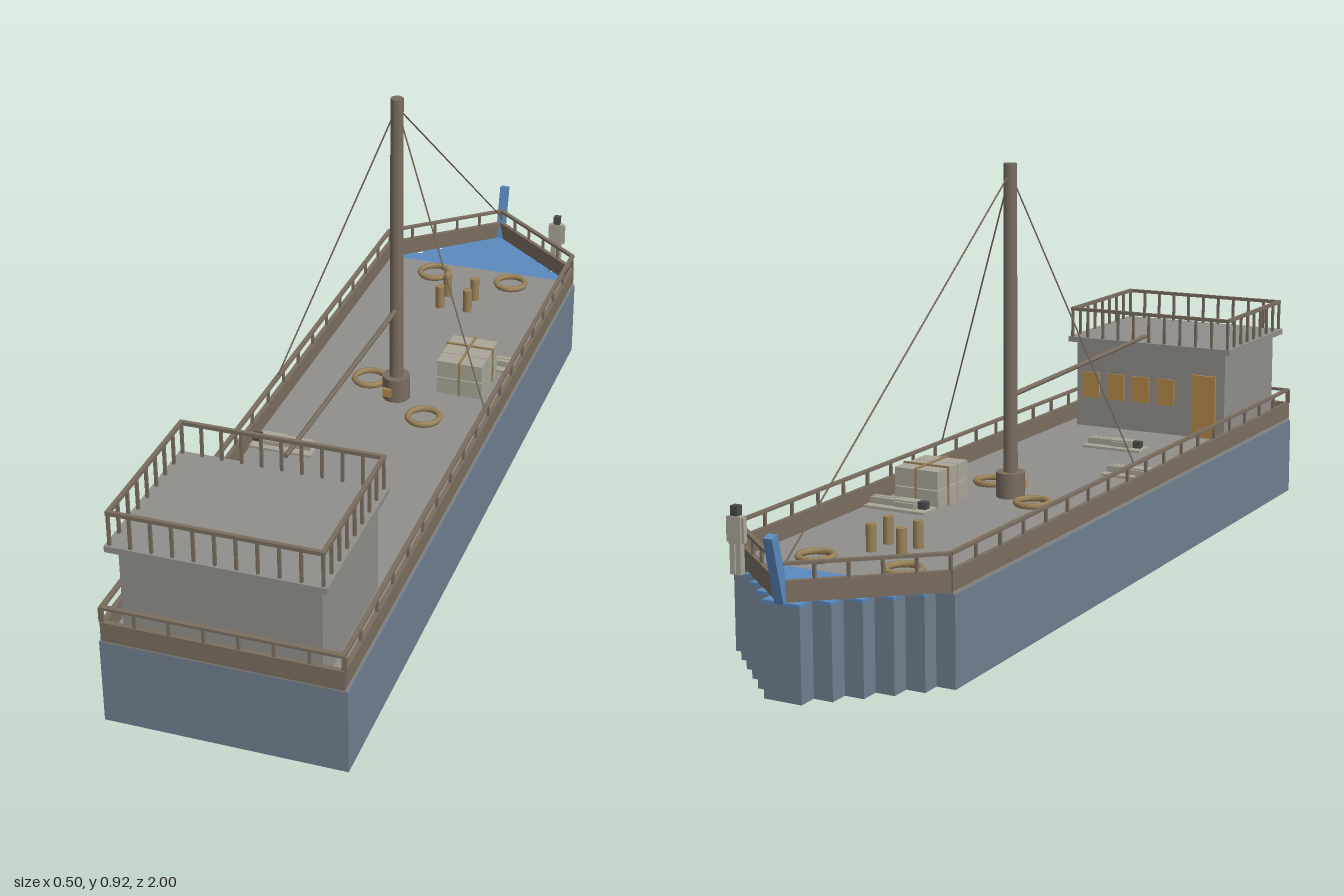
import * as THREE from 'three';

const mat = (name, color, side = THREE.FrontSide) => {
  const m = new THREE.MeshStandardMaterial({ color, side });
  m.name = name;
  return m;
};

export function createModel() {
  const hullBlue = mat('hullSlate', 0x708090);
  const deckGrey = mat('deckGrey', 0x918f8a);
  const wood = mat('weatheredWood', 0x7a6e60);
  const bowBlue = mat('bowBlue', 0x5a8abf);
  const amber = mat('amber', 0xb5884a);
  const ropeTan = mat('ropeTan', 0x9a8358);
  const pale = mat('paleCanvas', 0xaaa699);
  const dark = mat('darkGrey', 0x4a4a48);

  const root = new THREE.Group();
  root.name = 'cargoBoat';
  const V = (x, y, z) => new THREE.Vector3(x, y, z);
  const group = (name, parent = root) => {
    const g = new THREE.Group();
    g.name = name;
    parent.add(g);
    return g;
  };
  const mesh = (name, geo, m, x, y, z, parent = root) => {
    const o = new THREE.Mesh(geo, m);
    o.name = name;
    o.position.set(x, y, z);
    parent.add(o);
    return o;
  };
  const box = (name, w, h, d, m, x, y, z, parent) =>
    mesh(name, new THREE.BoxGeometry(w, h, d), m, x, y, z, parent);
  // square beam between two points
  const beam = (name, a, b, w, h, m, parent) => {
    const o = box(name, w, h, a.distanceTo(b), m, 0, 0, 0, parent);
    o.position.copy(a).lerp(b, 0.5);
    o.lookAt(b);
    return o;
  };
  // round spar or rope between two points
  const spar = (name, a, b, r0, r1, sides, m, parent) => {
    const o = mesh(name, new THREE.CylinderGeometry(r1, r0, a.distanceTo(b), sides), m, 0, 0, 0, parent);
    o.position.copy(a).lerp(b, 0.5);
    o.quaternion.setFromUnitVectors(V(0, 1, 0), b.clone().sub(a).normalize());
    return o;
  };
  // plan outline (x, -z) extruded upward
  const slab = (name, pts, y, h, m) => {
    const shape = new THREE.Shape(pts.map(([x, z]) => new THREE.Vector2(x, -z)));
    const geo = new THREE.ExtrudeGeometry(shape, { depth: h, bevelEnabled: false });
    return mesh(name, geo.rotateX(-Math.PI / 2), m, 0, y, 0);
  };

  // hull with a stepped bow
  const STERN = 0.985, SHOULDER = -0.755, STEPS = 5, STEP = 0.041;
  const stair = [];
  for (let i = 0; i < STEPS; i++) {
    const x = 0.25 * (1 - (i + 1) / (STEPS + 1));
    stair.push([x, SHOULDER - i * STEP], [x, SHOULDER - (i + 1) * STEP]);
  }
  const bow = [...stair, ...stair.map(([x, z]) => [-x, z]).reverse()];
  slab('hull', [[-0.25, STERN], [0.25, STERN], [0.25, SHOULDER], ...bow, [-0.25, SHOULDER]], 0, 0.185, hullBlue);
  slab('foredeck', bow, 0.185, 0.006, bowBlue);
  box('deck', 0.494, 0.006, STERN - SHOULDER, deckGrey, 0, 0.188, (STERN + SHOULDER) / 2);

  // bulwark and handrail around the deck
  const rails = group('bulwarkAndRail');
  const run = (a, b, n) => {
    const at = (p, y) => V(p[0], y, p[1]);
    beam('bulwark', at(a, 0.211), at(b, 0.211), 0.01, 0.042, wood, rails);
    beam('handrail', at(a, 0.264), at(b, 0.264), 0.01, 0.006, wood, rails);
    for (let i = 0; i <= n; i++) {
      const p = at(a, 0.247).lerp(at(b, 0.247), i / n);
      box('railPost', 0.006, 0.032, 0.006, wood, p.x, p.y, p.z, rails);
    }
  };
  for (const s of [-1, 1]) {
    run([s * 0.241, 0.982], [s * 0.241, SHOULDER], 18);
    run([s * 0.241, SHOULDER], [0, -0.96], 5);
  }
  run([-0.245, 0.982], [0.245, 0.982], 7);

  // raked stem post
  beam('stemPost', V(0, 0.19, -0.955), V(0, 0.322, -0.988), 0.02, 0.02, bowBlue);

  // deckhouse
  const house = group('deckhouse');
  box('cabin', 0.4, 0.215, 0.317, deckGrey, 0, 0.298, 0.819, house);
  box('roof', 0.436, 0.013, 0.355, deckGrey, 0, 0.4115, 0.8225, house);
  for (let i = 0; i < 4; i++)
    box('window', 0.046, 0.065, 0.006, amber, 0.16 - i * 0.068, 0.297, 0.659, house);
  box('door', 0.062, 0.155, 0.008, amber, -0.146, 0.27, 0.658, house);

  // roof railing
  const roofRail = group('roofRailing', house);
  const RX = 0.209, Z0 = 0.652, Z1 = 0.993;
  for (const z of [Z0, Z1]) {
    box('topRail', RX * 2 + 0.008, 0.008, 0.008, wood, 0, 0.488, z, roofRail);
    for (let i = 0; i <= 10; i++)
      box('post', 0.006, 0.07, 0.006, wood, -RX + (i * RX) / 5, 0.452, z, roofRail);
  }
  for (const x of [-RX, RX]) {
    box('topRail', 0.008, 0.008, Z1 - Z0, wood, x, 0.488, (Z0 + Z1) / 2, roofRail);
    for (let i = 1; i < 8; i++)
      box('post', 0.006, 0.07, 0.006, wood, x, 0.452, Z0 + ((Z1 - Z0) * i) / 8, roofRail);
  }

  // mast, boom and rigging
  const MZ = -0.07;
  const rig = group('rig');
  spar('mast', V(0, 0.19, MZ), V(0, 0.92, MZ), 0.016, 0.0145, 12, wood, rig);
  spar('mastCollar', V(0, 0.19, MZ), V(0, 0.247, MZ), 0.032, 0.032, 12, wood, rig);
  box('collarPlate', 0.02, 0.02, 0.008, amber, -0.012, 0.215, MZ + 0.031, rig);
  spar('boom', V(0, 0.415, MZ), V(0, 0.438, 0.63), 0.006, 0.005, 8, wood, rig);
  for (const end of [V(-0.243, 0.262, 0.05), V(0.243, 0.262, 0.05), V(0, 0.262, -0.94)])
    spar('stay', V(0, 0.9, MZ), end, 0.0018, 0.0018, 5, wood, rig);

  // rope coils
  for (const [x, z] of [[-0.1, -0.69], [0.1, -0.69], [-0.08, -0.12], [0.09, 0.01]])
    mesh('ropeCoil', new THREE.TorusGeometry(0.036, 0.007, 6, 20).rotateX(Math.PI / 2), ropeTan, x, 0.198, z);

  // bollards
  for (const x of [-0.035, 0.035])
    for (const z of [-0.59, -0.525])
      mesh('bollard', new THREE.CylinderGeometry(0.011, 0.011, 0.058, 10), ropeTan, x, 0.219, z);

  // stacked cargo bundles with lashings
  const cargo = group('cargo');
  for (let i = 0; i < 2; i++)
    for (let j = 0; j < 3; j++)
      for (let k = 0; k < 2; k++)
        box('bale', 0.052, 0.04, 0.042, pale, 0.108 + i * 0.054, 0.211 + k * 0.042, -0.225 + j * 0.044, cargo);
  box('lashing', 0.005, 0.086, 0.136, ropeTan, 0.135, 0.234, -0.181, cargo);
  box('lashing', 0.112, 0.086, 0.004, ropeTan, 0.135, 0.234, -0.203, cargo);

  // simple figure standing along y, feet at the origin
  const figure = (name) => {
    const g = group(name);
    for (const x of [-0.007, 0.007]) box('leg', 0.011, 0.06, 0.014, pale, x, 0.03, 0, g);
    box('torso', 0.028, 0.055, 0.016, pale, 0, 0.0875, 0, g);
    for (const x of [-0.0175, 0.0175]) box('arm', 0.006, 0.05, 0.01, pale, x, 0.088, 0, g);
    box('head', 0.016, 0.02, 0.016, dark, 0, 0.126, 0, g);
    return g;
  };
  figure('lookout').position.set(0.178, 0.19, -0.843);

  // sleeping mats with resting figures
  for (const [x, z] of [[0.157, -0.277], [-0.168, 0.218], [-0.002, 0.462]]) {
    box('sleepingMat', 0.15, 0.006, 0.056, pale, x, 0.194, z);
    const f = figure('restingFigure');
    f.rotation.z = Math.PI / 2;
    f.position.set(x + 0.068, 0.206, z);
    f.rotation.order = 'ZYX';
    f.rotation.y = Math.PI / 2;
  }
  return root;
}
